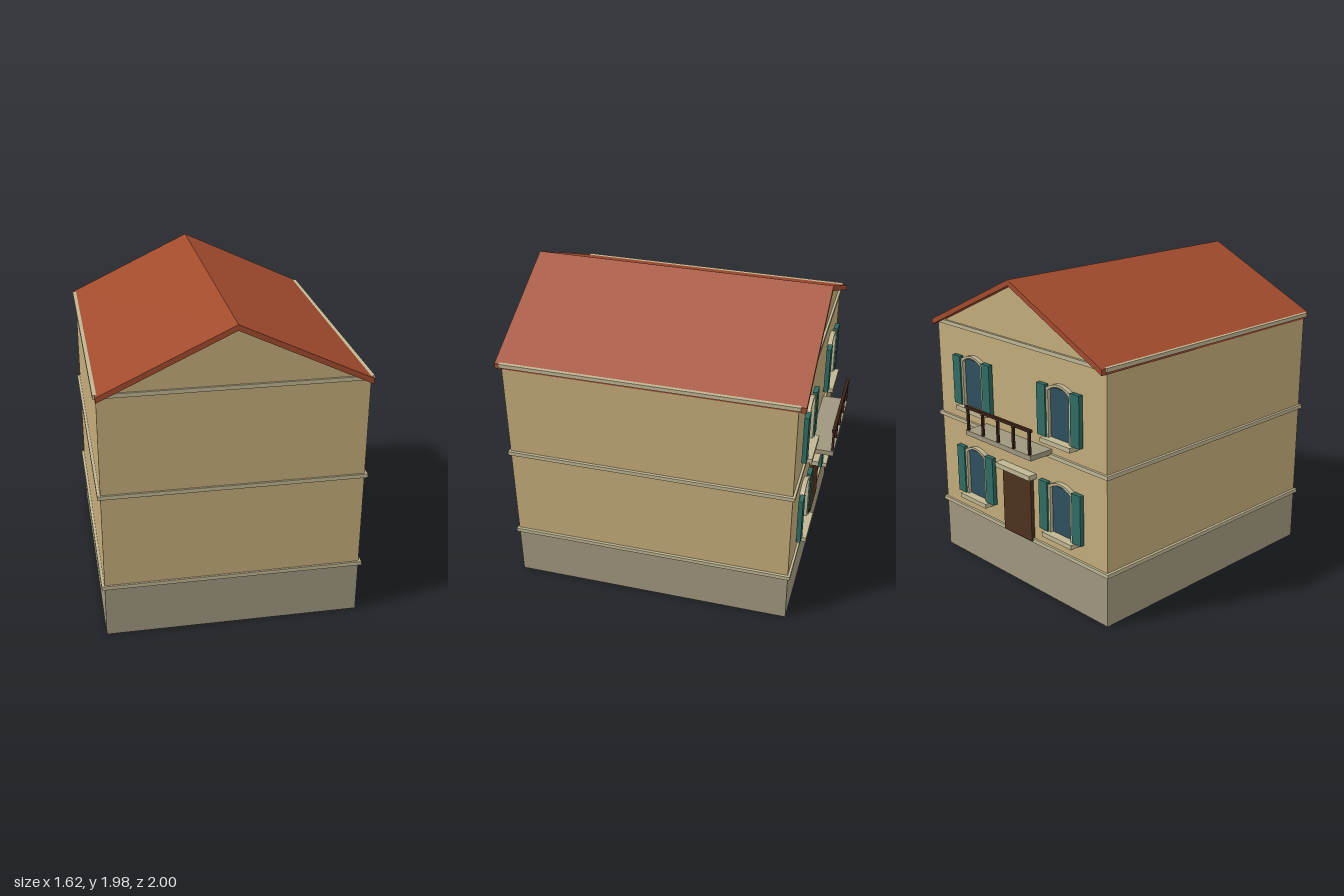
import * as THREE from 'three';

const mat = (name, color) => Object.assign(new THREE.MeshStandardMaterial({ color }), { name });

export function createModel() {
  const house = new THREE.Group();
  house.name = 'house';

  const plaster = mat('plaster', 0xc4ac7a);
  const stone = mat('stone', 0x9f977f);
  const trim = mat('trim', 0xc0b692);
  const tile = mat('roofTile', 0xa34b2d);
  const teal = mat('shutterPaint', 0x2e6c63);
  const glass = mat('glass', 0x2f505f);
  const wood = mat('doorWood', 0x4e321f);
  const iron = mat('railing', 0x3c2318);

  const BACK = -0.835, FRONT = 0.96, HALF = 0.79;

  // Box given by its extents on each axis
  const box = (parent, name, material, [x0, x1], [y0, y1], [z0, z1]) => {
    const mesh = new THREE.Mesh(new THREE.BoxGeometry(x1 - x0, y1 - y0, z1 - z0), material);
    mesh.position.set((x0 + x1) / 2, (y0 + y1) / 2, (z0 + z1) / 2);
    mesh.name = name;
    parent.add(mesh);
    return mesh;
  };
  // Outline in x and y, extruded from z0 to z1
  const prism = (parent, name, material, points, z0, z1) => {
    const shape = new THREE.Shape(points.map(([x, y]) => new THREE.Vector2(x, y)));
    const geometry = new THREE.ExtrudeGeometry(shape, { depth: z1 - z0, bevelEnabled: false });
    geometry.translate(0, 0, z0);
    const mesh = new THREE.Mesh(geometry, material);
    mesh.name = name;
    parent.add(mesh);
    return mesh;
  };

  // Body with gables, on a stone base
  box(house, 'stoneBase', stone, [-HALF, HALF], [0, 0.34], [BACK, FRONT]);
  prism(house, 'walls', plaster,
    [[-HALF, 0.34], [HALF, 0.34], [HALF, 1.58], [0, 1.95], [-HALF, 1.58]], BACK, FRONT);

  // Pitched roof
  prism(house, 'roof', tile,
    [[-0.795, 1.57], [0, 1.945], [0.795, 1.57], [0.795, 1.605], [0, 1.98], [-0.795, 1.605]], -0.88, 1);

  // Trim bands around the floors
  for (const y of [0.33, 0.948, 1.585]) {
    box(house, 'trimBand', trim, [-0.808, 0.808], [y, y + 0.025], [BACK - 0.015, FRONT + 0.012]);
  }

  // Arched window with sill and open shutters; y is the sill top
  const addWindow = (x, y) => {
    const win = new THREE.Group();
    win.name = 'window';
    win.position.set(x, y, BACK);
    house.add(win);
    box(win, 'pane', glass, [-0.092, 0.092], [0, 0.31], [-0.009, 0]);
    box(win, 'sill', trim, [-0.133, 0.133], [-0.03, 0], [-0.065, 0]);
    for (const s of [-1, 1]) {
      const span = (a, b) => (s > 0 ? [a, b] : [-b, -a]);
      box(win, 'framePost', trim, span(0.09, 0.106), [0, 0.31], [-0.03, 0]);
      box(win, 'shutter', teal, span(0.11, 0.186), [0, 0.322], [-0.037, -0.008]);
    }
    // Segmental arch over the pane
    const outer = [], inner = [];
    for (let i = 0; i <= 8; i++) {
      const t = -1 + i / 4;
      outer.push([0.106 * t, 0.342 - 0.035 * t * t]);
      inner.unshift([0.09 * t, 0.328 - 0.033 * t * t]);
    }
    prism(win, 'frameArch', trim, [...inner, ...outer], -0.03, 0);
  };
  for (const x of [-0.413, 0.413]) for (const y of [0.47, 1.085]) addWindow(x, y);

  // Door with lintel
  box(house, 'door', wood, [-0.135, 0.135], [0.34, 0.765], [BACK - 0.025, BACK]);
  box(house, 'doorLintel', trim, [-0.165, 0.165], [0.765, 0.797], [BACK - 0.06, BACK]);

  // Balcony with front railing
  box(house, 'balconySlab', stone, [-0.315, 0.315], [0.968, 1], [-1, BACK]);
  box(house, 'balconyRail', iron, [-0.315, 0.315], [1.143, 1.16], [-1, -0.98]);
  for (let i = -2; i <= 2; i++) {
    const x = i * 0.148;
    box(house, 'balconyPost', iron, [x - 0.008, x + 0.008], [1, 1.145], [-0.997, -0.983]);
  }

  return house;
}
